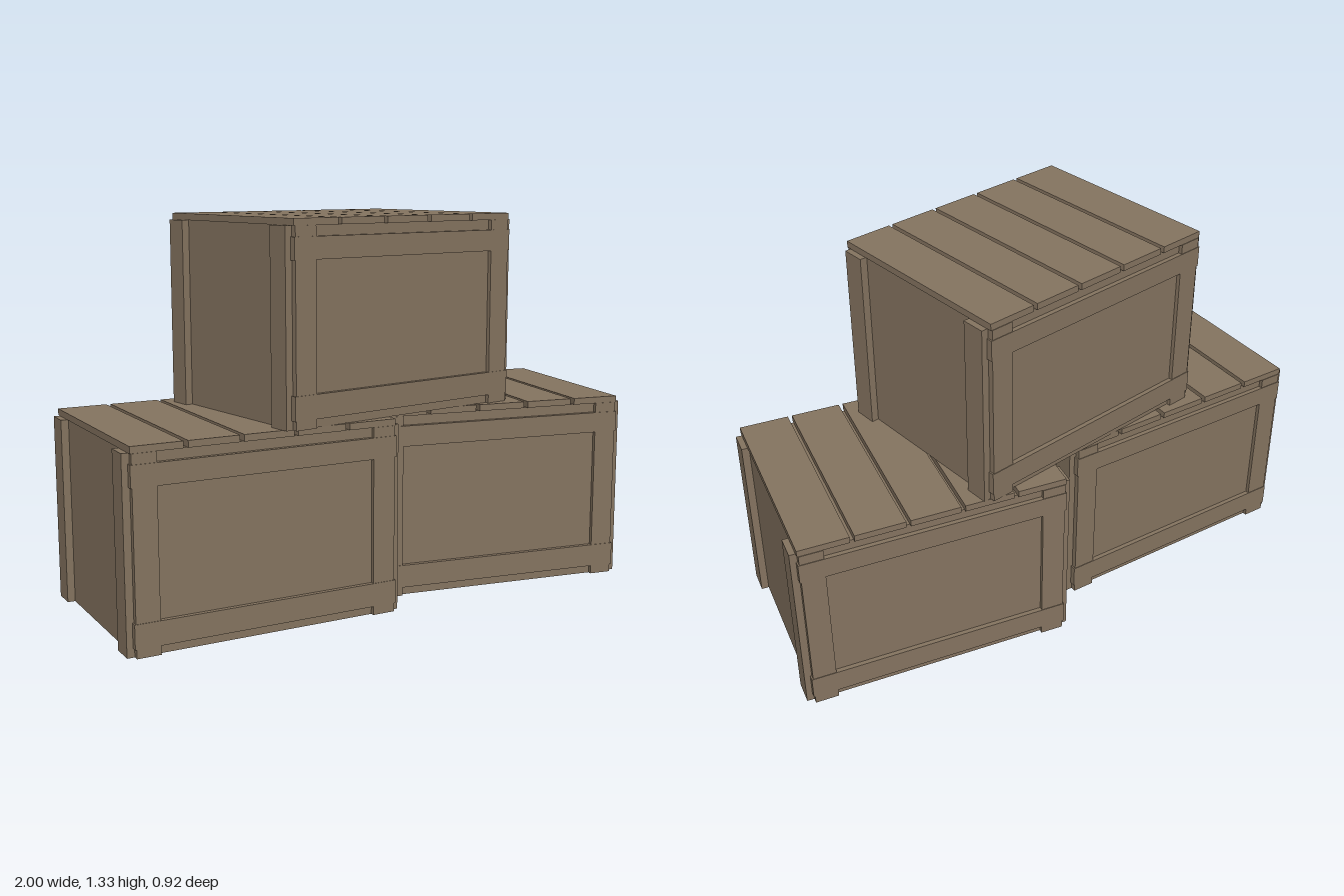
import * as THREE from 'three';

const wood = new THREE.MeshStandardMaterial({ color: 0x857460 });
wood.name = 'weathered wood';

function box(parent, name, w, h, d, x, y, z) {
  const mesh = new THREE.Mesh(new THREE.BoxGeometry(w, h, d), wood);
  mesh.name = name;
  mesh.position.set(x, y, z);
  parent.add(mesh);
}

// One shipping crate, standing on its own y = 0
function makeCrate(name) {
  const crate = new THREE.Group();
  crate.name = name;
  const bodyTop = 0.64, lid = 0.0225;

  box(crate, 'body', 0.91, bodyTop, 0.7, 0, bodyTop / 2, 0);

  // Lid: five slats running front to back with narrow gaps
  const slat = 0.172, pitch = 0.187;
  for (let i = 0; i < 5; i++) {
    box(crate, 'lidSlat', slat, lid, 0.724, (i - 2) * pitch, bodyTop + lid / 2, 0);
  }

  for (const s of [-1, 1]) {
    // Frames on the two long faces: stiles and slightly prouder rails
    for (const side of [-1, 1]) {
      box(crate, 'frameStile', 0.08, bodyTop, 0.024, side * 0.416, bodyTop / 2, s * 0.352);
    }
    box(crate, 'lowerRail', 0.922, 0.08, 0.025, 0, 0.07, s * 0.3535);
    box(crate, 'upperRail', 0.922, 0.072, 0.025, 0, 0.57, s * 0.3535);

    // Upright cleats on the two short ends
    for (const end of [-1, 1]) {
      box(crate, 'endCleat', 0.035, bodyTop, 0.083, end * 0.4635, bodyTop / 2, s * 0.3035);
    }
  }
  return crate;
}

export function createModel() {
  const model = new THREE.Group();
  model.name = 'crateStack';
  const deg = Math.PI / 180;
  const layout = [
    ['rightCrate', -0.507, 0, 0.065, 3],
    ['leftCrate', 0.484, 0, -0.051, -6],
    ['topCrate', -0.04, 0.6625, 0.006, 12.1],
  ];
  for (const [name, x, y, z, turn] of layout) {
    const crate = makeCrate(name);
    crate.position.set(x, y, z);
    crate.rotation.y = turn * deg;
    model.add(crate);
  }
  return model;
}
